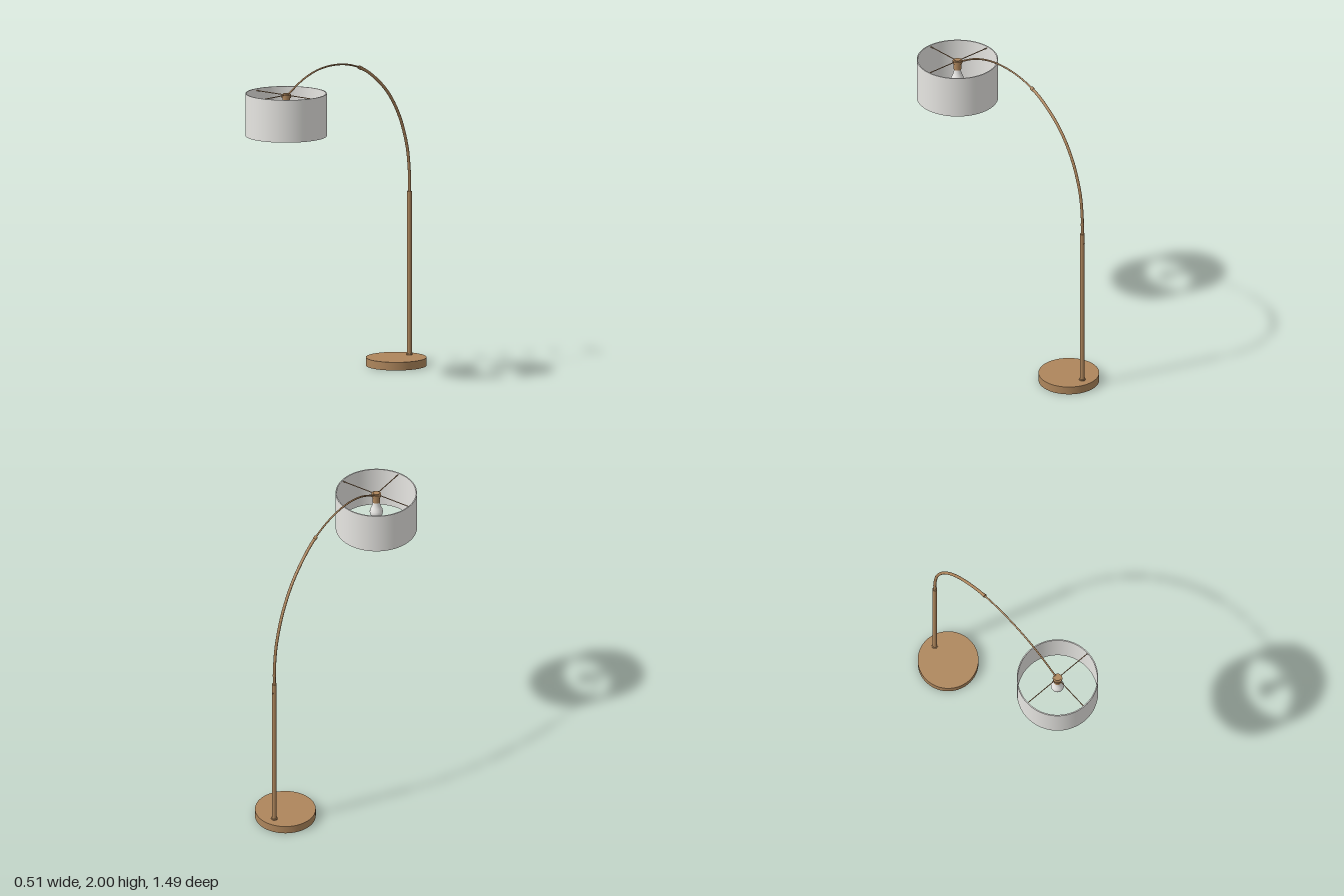
import * as THREE from 'three';

const BASE_Z = -0.554, POLE_Z = -0.68, SHADE_Z = 0.487;

export function createModel() {
  const lamp = new THREE.Group();
  lamp.name = 'arcFloorLamp';

  const material = (name, color, side = THREE.FrontSide) => {
    const m = new THREE.MeshStandardMaterial({ color, side });
    m.name = name;
    return m;
  };
  const bronze = material('warm bronze', 0xae865c);
  const fabric = material('shade fabric', 0xefeeea, THREE.DoubleSide);
  const glass = material('bulb white', 0xf2f1ee);

  const add = (name, geometry, mat, x = 0, y = 0, z = 0) => {
    const mesh = new THREE.Mesh(geometry, mat);
    mesh.name = name;
    mesh.position.set(x, y, z);
    lamp.add(mesh);
    return mesh;
  };
  const lathe = (points, segments = 32) =>
    new THREE.LatheGeometry(points.map(([r, y]) => new THREE.Vector2(r, y)), segments);
  const rod = (r, h, segments = 20) => new THREE.CylinderGeometry(r, r, h, segments);

  // Heavy round base
  add('base', rod(0.191, 0.052, 64), bronze, 0, 0.026, BASE_Z);

  // Upright pole with foot collar and clamp screw
  add('pole', rod(0.0146, 1.045), bronze, 0, 0.5725, POLE_Z);
  add('poleFoot', rod(0.02, 0.008), bronze, 0, 0.055, POLE_Z);
  const screw = add('clampScrew', rod(0.004, 0.006, 12), bronze, 0, 1.03, POLE_Z - 0.016);
  screw.rotation.x = Math.PI / 2;

  // Arched arm: a wide lower tube and a narrow upper tube along one curve
  const arch = new THREE.CatmullRomCurve3([
    [1.08, -0.68], [1.16, -0.68], [1.24, -0.677], [1.387, -0.656], [1.588, -0.584],
    [1.758, -0.47], [1.886, -0.32], [1.944, -0.212], [1.982, -0.08], [1.994, 0.06],
    [1.982, 0.19], [1.943, 0.32], [1.88, 0.44], [1.852, SHADE_Z],
  ].map(([y, z]) => new THREE.Vector3(0, y, z)), false, 'centripetal');
  const joint = 7 / 13;
  const section = (from, to) => {
    const points = [];
    for (let i = 0; i <= 24; i++) points.push(arch.getPoint(from + (to - from) * i / 24));
    return new THREE.CatmullRomCurve3(points);
  };
  add('lowerArm', new THREE.TubeGeometry(section(0, joint), 64, 0.0095, 14), bronze);
  add('upperArm', new THREE.TubeGeometry(section(joint, 1), 64, 0.0055, 12), bronze);

  // Collars where the tubes meet
  const collar = (name, t, r, h) => {
    const p = arch.getPoint(t);
    const mesh = add(name, rod(r, h), bronze, p.x, p.y, p.z);
    mesh.quaternion.setFromUnitVectors(new THREE.Vector3(0, 1, 0), arch.getTangent(t));
  };
  collar('armJoint', joint, 0.012, 0.02);
  collar('armCollar', 1 / 13, 0.0105, 0.012);

  // Open drum shade with a thin wall
  add('shade', lathe([[0.249, 1.603], [0.256, 1.603], [0.256, 1.603], [0.256, 1.874],
    [0.256, 1.874], [0.249, 1.874], [0.249, 1.874], [0.249, 1.603]], 72), fabric, 0, 0, SHADE_Z);

  // Three spokes carrying the shade
  for (const [i, angle] of [0, Math.PI / 2, Math.PI].entries()) {
    const spoke = add('shadeSpoke' + (i + 1), rod(0.003, 0.25, 8), bronze,
      Math.cos(angle) * 0.125, 1.862, SHADE_Z + Math.sin(angle) * 0.125);
    spoke.rotation.set(0, -angle, Math.PI / 2);
  }

  // Socket and bulb
  add('socket', lathe([[0, 1.805], [0.024, 1.805], [0.024, 1.805], [0.024, 1.846], [0.024, 1.846],
    [0.03, 1.846], [0.03, 1.846], [0.03, 1.866], [0.03, 1.866], [0.02, 1.866], [0.02, 1.866],
    [0.02, 1.872], [0.02, 1.872], [0, 1.872]]), bronze, 0, 0, SHADE_Z);
  add('bulb', lathe([[0, 1.685], [0.016, 1.688], [0.03, 1.697], [0.039, 1.712], [0.042, 1.728],
    [0.039, 1.745], [0.031, 1.764], [0.024, 1.784], [0.022, 1.808]]), glass, 0, 0, SHADE_Z);

  return lamp;
}
